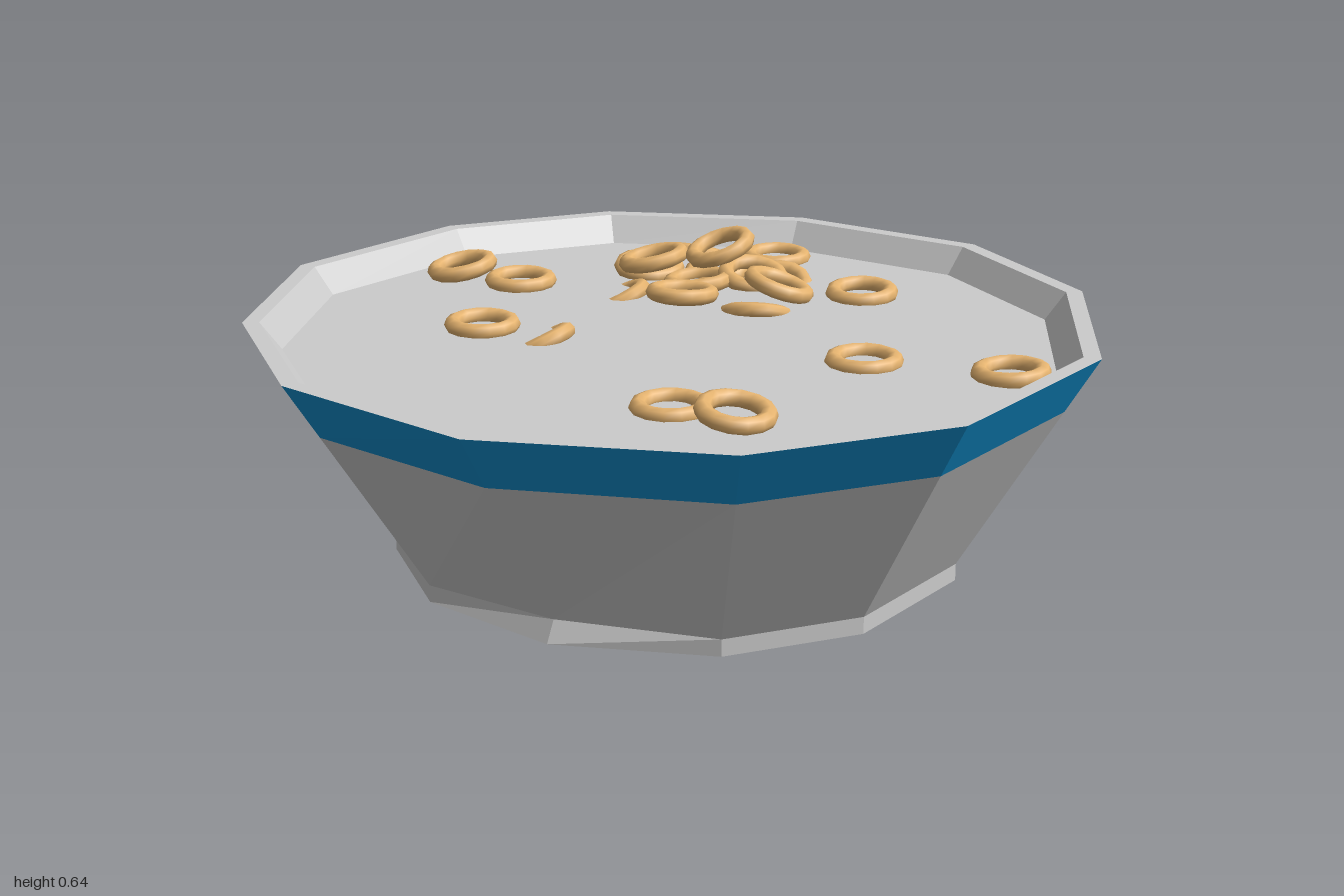
import * as THREE from 'three';

const grey = new THREE.MeshStandardMaterial({ color: 0xcccccc, flatShading: true });
const blue = new THREE.MeshStandardMaterial({ color: 0x1290d0, flatShading: true });
const tan = new THREE.MeshStandardMaterial({ color: 0xe6b470 });

// Slightly irregular twelve-sided outline of the rim, [x, z]
const outline = [
  [-0.03, -0.97], [0.47, -0.88], [0.83, -0.56], [1, -0.05], [0.86, 0.49], [0.51, 0.83],
  [-0.03, 0.96], [-0.53, 0.81], [-0.86, 0.45], [-1, -0.03], [-0.85, -0.52], [-0.53, -0.83],
];
const RIM = 0.565, FOOT = 0.04, MILK = 0.5;

// One horizontal ring of the bowl
function ring(scale, y, dx = 0, dz = 0) {
  return outline.map(([x, z]) => new THREE.Vector3(x * scale + dx, y, z * scale + dz));
}

// Faceted skin through successive rings
function skin(name, rings, material) {
  const n = outline.length;
  const index = [];
  for (let r = 0; r < rings.length - 1; r++) {
    for (let i = 0; i < n; i++) {
      const a = r * n + i, an = r * n + (i + 1) % n;
      index.push(a, a + n, an, a + n, an + n, an);
    }
  }
  const geometry = new THREE.BufferGeometry().setFromPoints(rings.flat());
  geometry.setIndex(index);
  const flat = geometry.toNonIndexed();
  flat.computeVertexNormals();
  const mesh = new THREE.Mesh(flat, material);
  mesh.name = name;
  return mesh;
}

// Cereal rings: [x, z, y, tilt about x, tilt about z]
const cereal = [
  // scattered over the milk
  [-0.03, -0.78, 0.505, 0, 0], [0.29, -0.53, 0.51, 0.05, 0], [-0.70, -0.31, 0.525, 0.1, 0.15],
  [-0.53, -0.30, 0.51, 0, 0], [-0.44, 0.08, 0.51, 0, 0], [0.47, -0.02, 0.505, 0, 0],
  [0.80, -0.05, 0.51, 0, 0.05], [0.20, 0.45, 0.505, 0, 0], [0.36, 0.48, 0.525, 0.05, -0.15],
  // half sunk
  [-0.29, 0.08, 0.48, 0, 0.5], [-0.28, -0.33, 0.48, 0.1, 0.45],
  [0.05, -0.58, 0.485, 0.45, -0.1], [0.09, -0.33, 0.485, -0.4, 0.1],
  // heap
  [-0.21, -0.66, 0.52, -0.4, 0], [-0.12, -0.60, 0.505, 0.2, 0.1], [-0.28, -0.53, 0.515, 0.1, -0.1],
  [0.00, -0.54, 0.52, 0.15, -0.2], [-0.12, -0.47, 0.51, 0, 0.1], [-0.10, -0.32, 0.52, -0.1, 0],
  [0.11, -0.43, 0.535, -0.15, -0.3], [-0.25, -0.49, 0.55, 0.05, 0.2], [-0.07, -0.49, 0.597, 0.25, 0.25],
];

export function createModel() {
  const model = new THREE.Group();

  // Bowl outside, from the base up to the band
  const base = ring(0.68, 0, 0.015, -0.01);
  const foot = ring(0.68, FOOT, 0.015, -0.01);
  foot[6].set(0, 0.05, 0.62);
  const bandLow = foot.map((p, i) => {
    const [x, z] = outline[i];
    return p.clone().lerp(new THREE.Vector3(x, RIM, z), (0.435 - p.y) / (RIM - p.y));
  });
  const rim = ring(1, RIM);
  model.add(skin('bowlWall', [ring(0, 0), base, foot, bandLow], grey));
  model.add(skin('blueBand', [bandLow, rim], blue));

  // Rim, inner wall and milk
  const milkEdge = ring(0.91, MILK);
  model.add(skin('rimAndInnerWall', [rim, ring(0.96, RIM), milkEdge], grey));
  model.add(skin('milk', [milkEdge, ring(0, MILK)], grey));

  // Cereal
  const rings = new THREE.Group();
  rings.name = 'cerealRings';
  const torus = new THREE.TorusGeometry(0.07, 0.02, 8, 14).rotateX(-Math.PI / 2);
  cereal.forEach(([x, z, y, tiltX, tiltZ]) => {
    const piece = new THREE.Mesh(torus, tan);
    piece.name = 'cerealRing';
    piece.position.set(x, y, z);
    piece.rotation.set(tiltX, 0, tiltZ);
    rings.add(piece);
  });
  model.add(rings);

  return model;
}
